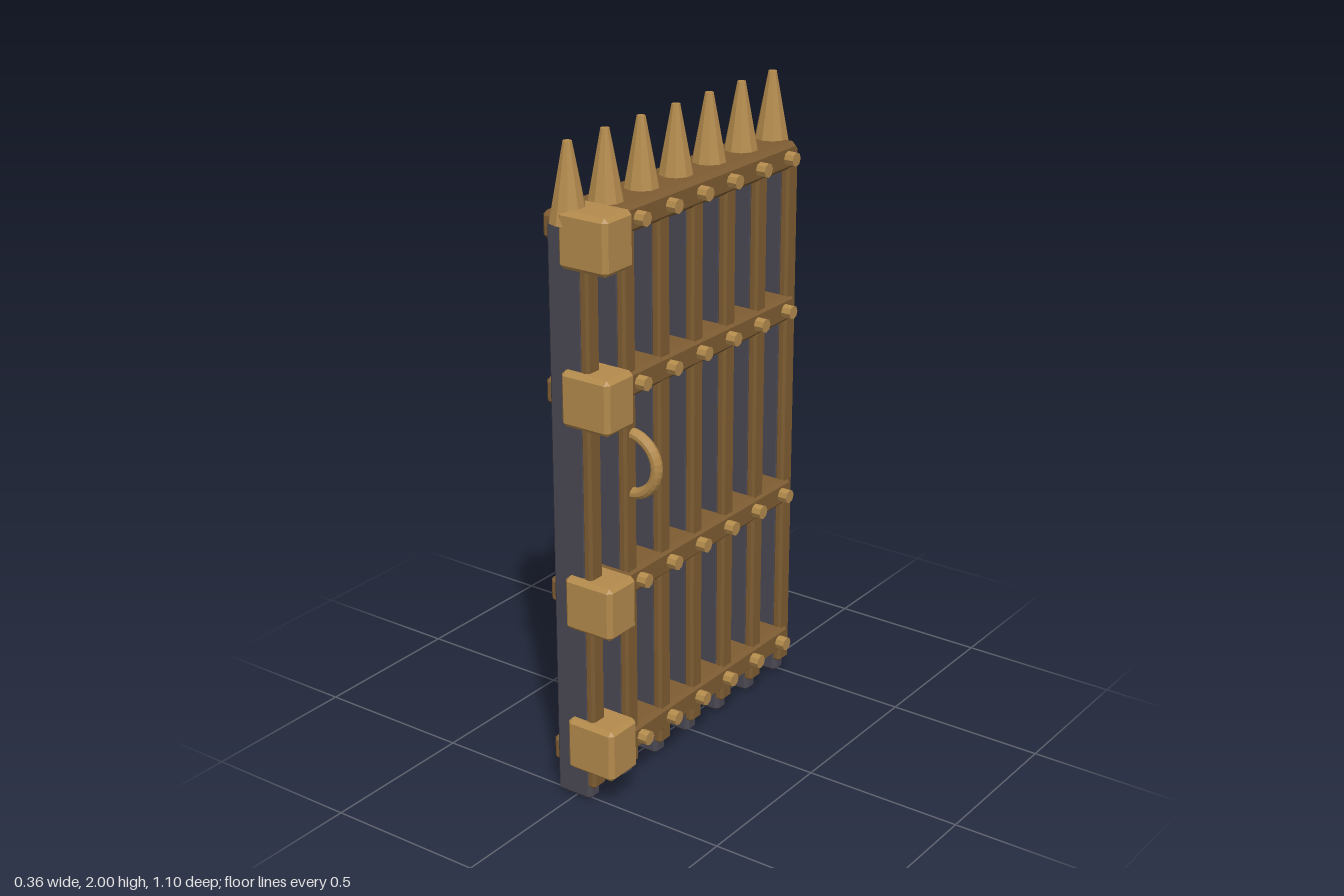
import * as THREE from 'three';
import { ConvexGeometry } from 'three/addons/geometries/ConvexGeometry.js';

const material = (name, color, flat = true) => {
  const m = new THREE.MeshStandardMaterial({ color, flatShading: flat });
  m.name = name;
  return m;
};

// Box with every edge chamfered, given by its min and max corners
function chamferBox(min, max, c) {
  const mid = min.map((v, i) => (v + max[i]) / 2);
  const half = min.map((v, i) => (max[i] - v) / 2);
  const points = [];
  for (const sx of [-1, 1]) for (const sy of [-1, 1]) for (const sz of [-1, 1])
    for (let axis = 0; axis < 3; axis++) {
      const p = [sx, sy, sz].map((s, i) => mid[i] + s * (half[i] - (i === axis ? 0 : c)));
      points.push(new THREE.Vector3(...p));
    }
  return new ConvexGeometry(points);
}

export function createModel() {
  const gate = new THREE.Group();
  gate.name = 'gate';
  const iron = material('dark iron', 0x4a4751);
  const bronze = material('aged bronze', 0x7d5c32);
  const brass = material('brass', 0xb38a4c);

  const add = (name, geometry, mat, x = 0, y = 0, z = 0) => {
    const mesh = new THREE.Mesh(geometry, mat);
    mesh.name = name;
    mesh.position.set(x, y, z);
    gate.add(mesh);
    return mesh;
  };

  // Upright bars with a bronze facing strip and a spike on top
  const barGeo = chamferBox([-0.067, 0, -0.026], [0.057, 1.777, 0.026], 0.011);
  const stripGeo = chamferBox([0.045, 0.045, -0.028], [0.076, 1.777, 0.028], 0.008);
  const spikeGeo = new THREE.CylinderGeometry(0.013, 0.056, 0.225, 10);
  for (let i = -3; i <= 3; i++) {
    const z = i * 0.1648;
    add('bar', barGeo, iron, 0, 0, z);
    add('barStrip', stripGeo, bronze, 0, 0, z);
    add('spike', spikeGeo, brass, -0.005, 1.8875, z);
  }

  // Cross rails with a row of studs
  const railGeo = chamferBox([-0.092, -0.041, -0.506], [0.084, 0.041, 0.508], 0.013);
  const studGeo = new THREE.CylinderGeometry(0.022, 0.022, 0.04, 8);
  studGeo.rotateZ(Math.PI / 2);
  for (const y of [0.13, 0.655, 1.272, 1.755]) {
    add('crossRail', railGeo, bronze, 0, y, 0);
    for (let i = -3; i <= 3; i++) add('stud', studGeo, brass, 0.095, y, i * 0.15);
  }

  // Hinge blocks on the front upright
  const hingeGeo = chamferBox([-0.01, -0.083, 0.416], [0.158, 0.083, 0.544], 0.013);
  for (const y of [0.187, 0.648, 1.277, 1.737]) add('hingeBlock', hingeGeo, brass, 0, y, 0);

  // Ring handles set into the second bar, one on each side
  const ringGeo = new THREE.TorusGeometry(0.093, 0.018, 10, 32);
  for (const side of [-1, 1]) add('ringHandle', ringGeo, brass, side * 0.067, 1.027, 0.322);

  return gate;
}
